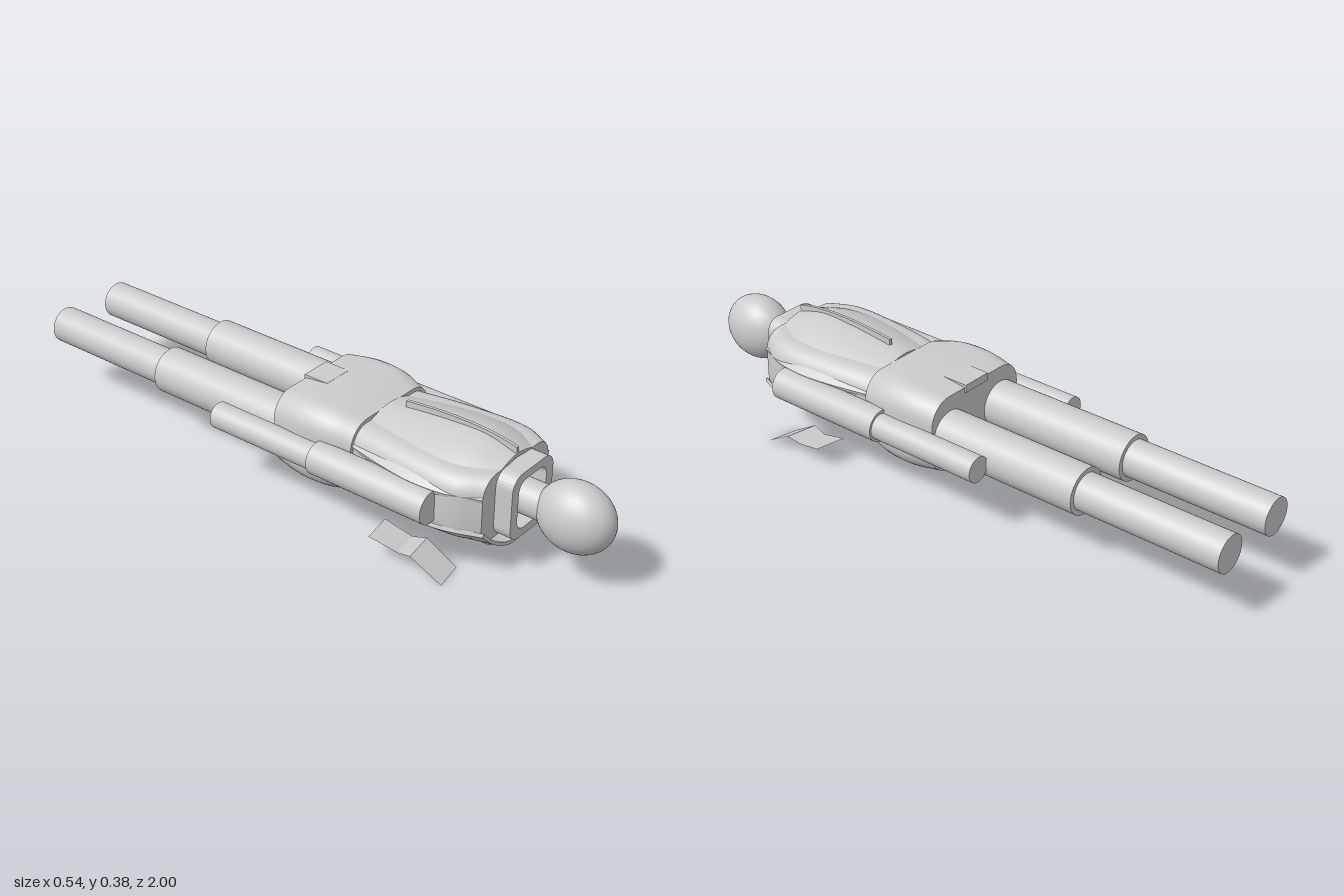
import * as THREE from 'three';
import { toCreasedNormals } from 'three/addons/utils/BufferGeometryUtils.js';

// Closed loft through rings ordered by z; each ring is counter-clockwise seen from +z
function loft(rings) {
  const n = rings[0].length, pos = [], idx = [];
  rings.forEach(r => r.forEach(p => pos.push(p.x, p.y, p.z)));
  for (let i = 0; i < rings.length - 1; i++) {
    for (let j = 0; j < n; j++) {
      const k = (j + 1) % n, a = i * n + j, b = i * n + k;
      idx.push(a, b, b + n, a, b + n, a + n);
    }
  }
  const cap = (ring, base, flip) => {
    const contour = ring.map(p => new THREE.Vector2(p.x, p.y));
    for (const [a, b, c] of THREE.ShapeUtils.triangulateShape(contour, [])) {
      if (flip) idx.push(base + a, base + c, base + b);
      else idx.push(base + a, base + b, base + c);
    }
  };
  cap(rings[0], 0, true);
  cap(rings.at(-1), (rings.length - 1) * n, false);
  const geo = new THREE.BufferGeometry();
  geo.setAttribute('position', new THREE.Float32BufferAttribute(pos, 3));
  geo.setIndex(idx);
  return toCreasedNormals(geo, 0.6);
}

// Rounded rectangle outline: half width, half height, corner radius
function roundRect(w, h, r, steps = 8) {
  const pts = [];
  [[1, 1], [-1, 1], [-1, -1], [1, -1]].forEach(([sx, sy], q) => {
    for (let i = 0; i <= steps; i++) {
      const a = (q + i / steps) * Math.PI / 2;
      pts.push(new THREE.Vector2(sx * (w - r) + r * Math.cos(a), sy * (h - r) + r * Math.sin(a)));
    }
  });
  return pts;
}

// Smoothly sample a short list of [z, ...values] stations
function stations(list, steps) {
  const curve = new THREE.CatmullRomCurve3(list.map(([z, a, b]) => new THREE.Vector3(a, b, z)));
  return curve.getPoints(steps);
}

const CY = 0.222;

// Rounded body section from [z, half width, half height] stations
function body(list, radius) {
  return loft(stations(list, 16).map(s =>
    roundRect(s.x, s.y, radius).map(p => new THREE.Vector3(p.x, p.y + CY, s.z))));
}

// Thin curved armour shell from [z, half width, crown y] stations; dir +1 above, -1 below
function shell(list, edge, dir) {
  const N = 28, T = 0.012;
  return loft(stations(list, 16).map(s => {
    const ring = [];
    const arc = (w, crown, drop) => {
      const row = [];
      for (let i = 0; i <= N; i++) {
        const u = Math.cos(Math.PI * i / N);
        const y = edge + (crown - edge) * (1 - Math.abs(u) ** 1.8) - dir * drop;
        row.push(new THREE.Vector3(w * u, y, s.z));
      }
      return row;
    };
    ring.push(...arc(s.x, s.y, 0), ...arc(s.x - 0.004, s.y, T).reverse());
    return dir > 0 ? ring : ring.reverse();
  }));
}

export function createModel() {
  const model = new THREE.Group();
  const mat = new THREE.MeshStandardMaterial({ color: 0xcccccc });
  const thin = new THREE.MeshStandardMaterial({ color: 0xcccccc, side: THREE.DoubleSide });
  const add = (name, geo, x = 0, y = 0, z = 0, m = mat) => {
    const mesh = new THREE.Mesh(geo, m);
    mesh.name = name;
    mesh.position.set(x, y, z);
    model.add(mesh);
    return mesh;
  };
  // Cylinder lying along z
  const rod = (name, r, z0, z1, x) =>
    add(name, new THREE.CylinderGeometry(r, r, z1 - z0, 40).rotateX(Math.PI / 2), x, CY, (z0 + z1) / 2);

  // Head and neck
  add('head', new THREE.SphereGeometry(1, 40, 28).scale(0.085, 0.107, 0.12), 0, CY, 0.88);
  rod('neck', 0.053, 0.66, 0.79, 0);

  // Collar ring around the neck
  const collar = new THREE.Shape(roundRect(0.1, 0.106, 0.045));
  collar.holes.push(new THREE.Path(roundRect(0.068, 0.08, 0.035)));
  add('collar', new THREE.ExtrudeGeometry(collar, { depth: 0.065, bevelEnabled: false }), 0, CY, 0.67);

  // Torso core and pelvis
  add('torso', body([[0.2, 0.165, 0.1], [0.4, 0.19, 0.106], [0.6, 0.197, 0.106], [0.68, 0.16, 0.106]], 0.06));
  add('pelvis', body([[-0.035, 0.196, 0.122], [0.06, 0.208, 0.132], [0.16, 0.203, 0.13], [0.24, 0.182, 0.114]], 0.075));
  add('beltFlap', new THREE.BoxGeometry(0.1, 0.025, 0.085), 0, 0.341, 0.002);

  // Upper and lower armour shells
  add('backShell', shell([[0.24, 0.175, 0.343], [0.36, 0.2, 0.358], [0.47, 0.214, 0.368],
    [0.58, 0.204, 0.37], [0.68, 0.165, 0.345]], 0.274, 1));
  add('chestShell', shell([[0.3, 0.185, 0.066], [0.38, 0.205, 0.06], [0.48, 0.216, 0.056],
    [0.58, 0.206, 0.052], [0.69, 0.165, 0.056]], 0.155, -1));

  // Fin along the middle of the back shell, drawn in z and y
  const fin = new THREE.Shape();
  fin.moveTo(0.3, 0.34);
  fin.lineTo(0.3, 0.37);
  fin.quadraticCurveTo(0.55, 0.4, 0.68, 0.365);
  fin.lineTo(0.68, 0.335);
  add('backFin', new THREE.ExtrudeGeometry(fin, { depth: 0.01, bevelEnabled: false })
    .rotateY(-Math.PI / 2), 0.005);

  // Keel under the chest
  const keel = new THREE.Shape();
  keel.moveTo(-0.037, 0.052);
  keel.lineTo(-0.037, 0.035);
  keel.quadraticCurveTo(-0.02, 0.016, 0, 0.011);
  keel.quadraticCurveTo(0.02, 0.016, 0.037, 0.035);
  keel.lineTo(0.037, 0.052);
  add('chestKeel', new THREE.ExtrudeGeometry(keel, { depth: 0.39, bevelEnabled: false }), 0, 0, 0.225);

  for (const side of [1, -1]) {
    const label = side > 0 ? 'left' : 'right';
    // Limbs
    rod(label + 'UpperArm', 0.051, 0.145, 0.55, side * 0.218);
    rod(label + 'Forearm', 0.041, -0.23, 0.145, side * 0.221);
    rod(label + 'Thigh', 0.073, -0.53, -0.01, side * 0.115);
    rod(label + 'Shin', 0.058, -1, -0.53, side * 0.115);

    // Loose stepped plate: rows of [inner x, outer x, y, z]
    const rows = [[0.143, 0.24, 0, 0.593], [0.15, 0.253, 0.06, 0.493],
      [0.156, 0.247, 0.048, 0.446], [0.165, 0.265, 0.073, 0.355]];
    const pos = [], idx = [];
    rows.forEach(([a, b, y, z], i) => {
      pos.push(side * a, y, z, side * b, y, z + 0.018);
      const k = i * 2;
      if (i < 3) idx.push(...(side > 0 ? [k, k + 1, k + 3, k, k + 3, k + 2] : [k, k + 3, k + 1, k, k + 2, k + 3]));
    });
    const plate = new THREE.BufferGeometry();
    plate.setAttribute('position', new THREE.Float32BufferAttribute(pos, 3));
    plate.setIndex(idx);
    add(label + 'LoosePlate', toCreasedNormals(plate, 0.3), 0, 0, 0, thin);
  }
  return model;
}
